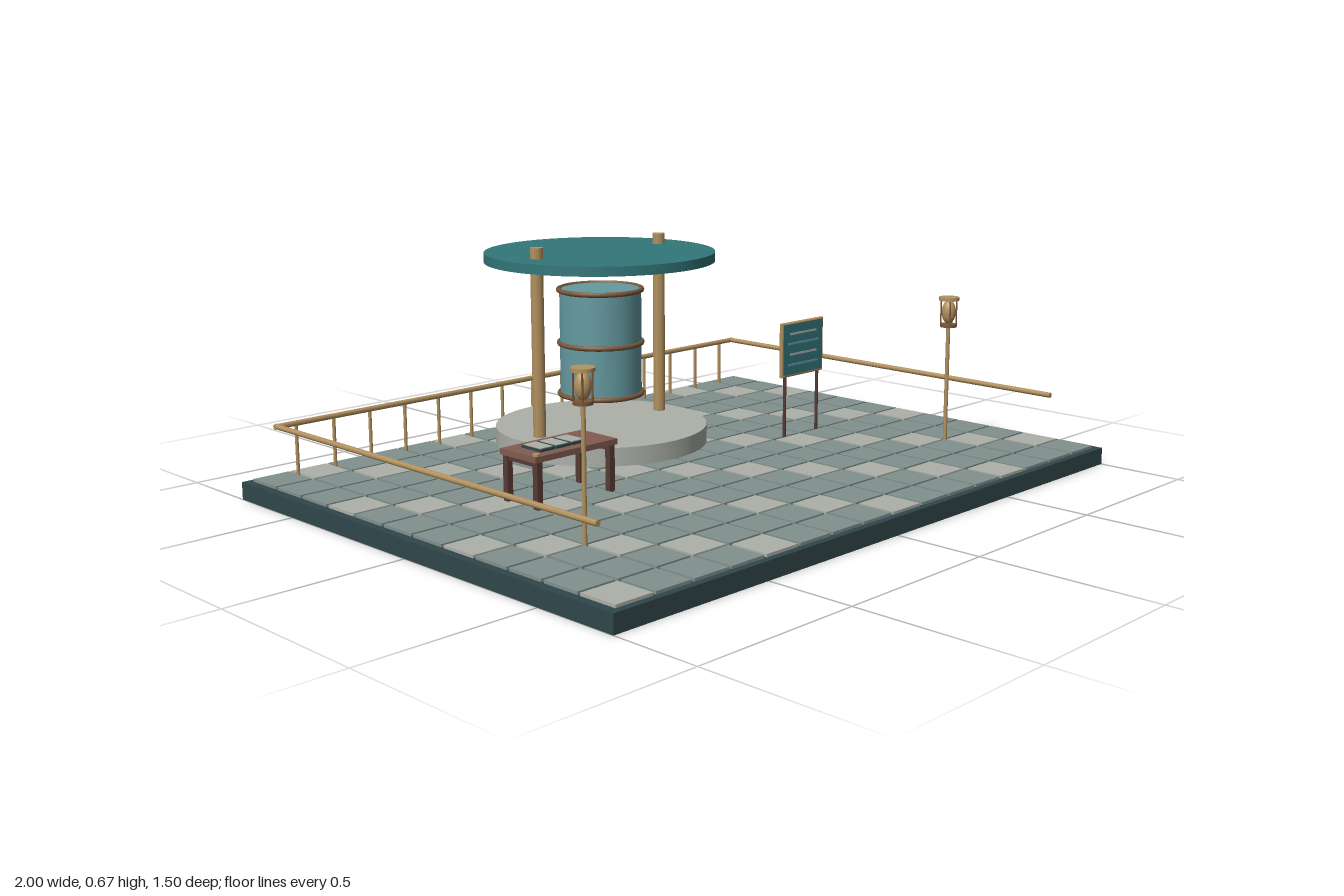
import * as THREE from 'three';

const mat = (name, color) => {
  const m = new THREE.MeshStandardMaterial({ color });
  m.name = name;
  return m;
};

export function createModel() {
  const root = new THREE.Group();
  root.name = 'plaza';
  const slate = mat('dark slate', 0x30474b);
  const tile = mat('grey green tile', 0x81918e);
  const pale = mat('pale stone', 0xadb1a9);
  const teal = mat('deep teal', 0x32767a);
  const tankBlue = mat('tank blue', 0x649aa1);
  const brass = mat('brass', 0xb3925f);
  const bronze = mat('bronze', 0x7a5638);
  const wood = mat('red brown wood', 0x825c50);
  const darkWood = mat('dark wood', 0x583c35);

  const add = (name, geo, m, x, y, z, parent = root) => {
    const mesh = new THREE.Mesh(geo, m);
    mesh.name = name;
    mesh.position.set(x, y, z);
    parent.add(mesh);
    return mesh;
  };
  const box = (name, m, w, h, d, x, y, z, parent) =>
    add(name, new THREE.BoxGeometry(w, h, d), m, x, y, z, parent);
  // Upright cylinder spanning y0 to y1
  const post = (name, m, r, y0, y1, x, z, sides = 8, parent = root) =>
    add(name, new THREE.CylinderGeometry(r, r, y1 - y0, sides), m, x, (y0 + y1) / 2, z, parent);
  const group = (name, x = 0, z = 0) => {
    const g = new THREE.Group();
    g.name = name;
    g.position.set(x, 0, z);
    root.add(g);
    return g;
  };

  // Base slab with a grid of tiles, pale ones running diagonally
  box('base', slate, 2, 0.05, 1.5, 0, 0.025, 0);
  const floor = group('floor');
  const pitch = 0.1225;
  const tileGeo = new THREE.BoxGeometry(0.113, 0.008, 0.113);
  for (let j = 0; j < 12; j++) {
    for (let i = 0; i < 16; i++) {
      const isPale = (i - j + 12) % 4 === 1;
      add(isPale ? 'paleTile' : 'tile', tileGeo, isPale ? pale : tile,
        (i - 7.5) * pitch, 0.054, (j - 5.5) * pitch, floor);
    }
  }

  // Round podium, banded tank and canopy
  const shelter = group('shelter', 0, -0.37);
  post('podium', pale, 0.318, 0.05, 0.112, 0, 0, 48, shelter);
  post('tank', tankBlue, 0.122, 0.203, 0.522, 0, 0, 40, shelter);
  for (const y of [0.207, 0.361, 0.52]) {
    const ring = add('tankBand', new THREE.TorusGeometry(0.124, 0.0075, 8, 40), bronze, 0, y, 0, shelter);
    ring.rotation.x = Math.PI / 2;
  }
  post('canopy', teal, 0.342, 0.606, 0.634, 0, 0, 64, shelter);
  for (const s of [-1, 1]) {
    post('canopyPost', brass, 0.0195, 0.1, 0.666, s * 0.245, 0, 8, shelter).rotation.y = Math.PI / 8;
  }

  // Railing: back rail on posts, with a long rail down each side
  const railing = group('railing');
  const rail = (name, length, x, z, along) => {
    const m = add(name, new THREE.CylinderGeometry(0.008, 0.008, length, 8), brass, x, 0.203, z, railing);
    if (along === 'x') m.rotation.z = Math.PI / 2;
    else m.rotation.x = Math.PI / 2;
  };
  rail('backRail', 1.85, 0, -0.69, 'x');
  for (const s of [-1, 1]) rail('sideRail', 1.31, s * 0.918, -0.04, 'z');
  for (let i = -7; i <= 7; i++) {
    post('railPost', brass, 0.005, 0.05, 0.203, i * pitch, -0.69, 8, railing);
  }

  // Pair of lanterns on slim poles
  for (const s of [-1, 1]) {
    const lamp = group('lamp', s * 0.735, 0.367);
    post('lampPole', brass, 0.006, 0.05, 0.41, 0, 0, 10, lamp);
    post('lampBase', bronze, 0.025, 0.404, 0.413, 0, 0, 20, lamp);
    post('lampCap', brass, 0.03, 0.484, 0.494, 0, 0, 24, lamp);
    const globe = add('lampGlobe', new THREE.SphereGeometry(0.021, 20, 14), brass, 0, 0.449, 0, lamp);
    globe.scale.y = 1.7;
    for (let k = 0; k < 4; k++) {
      const a = (k + 0.5) * Math.PI / 2;
      post('lampBar', bronze, 0.0025, 0.41, 0.487, 0.023 * Math.cos(a), 0.023 * Math.sin(a), 6, lamp);
    }
  }

  // Table with three framed cards and a small knob
  const table = group('table', -0.4925, 0);
  box('tableTop', wood, 0.287, 0.016, 0.143, 0, 0.193, 0, table);
  for (const sx of [-1, 1]) {
    for (const sz of [-1, 1]) {
      box('tableLeg', darkWood, 0.018, 0.135, 0.018, sx * 0.127, 0.1175, sz * 0.06, table);
    }
    box('tableApron', darkWood, 0.012, 0.015, 0.12, sx * 0.127, 0.178, 0, table);
  }
  for (let k = -1; k <= 1; k++) {
    box('cardFrame', slate, 0.05, 0.007, 0.077, k * 0.0545 - 0.02, 0.2045, 0.002, table);
    box('card', pale, 0.042, 0.002, 0.067, k * 0.0545 - 0.02, 0.209, 0.002, table);
  }
  post('tableKnob', brass, 0.01, 0.2, 0.207, -0.131, 0.061, 10, table);

  // Notice board on two legs
  const board = group('noticeBoard', 0.49, 0);
  box('boardPanel', teal, 0.18, 0.155, 0.014, 0, 0.3275, 0, board);
  for (const s of [-1, 1]) {
    add('boardSide', new THREE.CylinderGeometry(0.007, 0.007, 0.165, 8), brass, s * 0.09, 0.3265, 0, board);
    const bar = add('boardBar', new THREE.CylinderGeometry(0.007, 0.007, 0.186, 8), brass,
      0, 0.3265 + s * 0.0775, 0, board);
    bar.rotation.z = Math.PI / 2;
    post('boardLeg', darkWood, 0.005, 0.05, 0.25, s * 0.075, 0, 8, board);
  }
  [[0.375, 0.12], [0.345, 0.14], [0.312, 0.12], [0.28, 0.14]].forEach(([y, w], k) => {
    box('boardLine', k % 2 ? tankBlue : pale, w, 0.006, 0.003, 0, y, 0.008, board);
  });

  return root;
}
